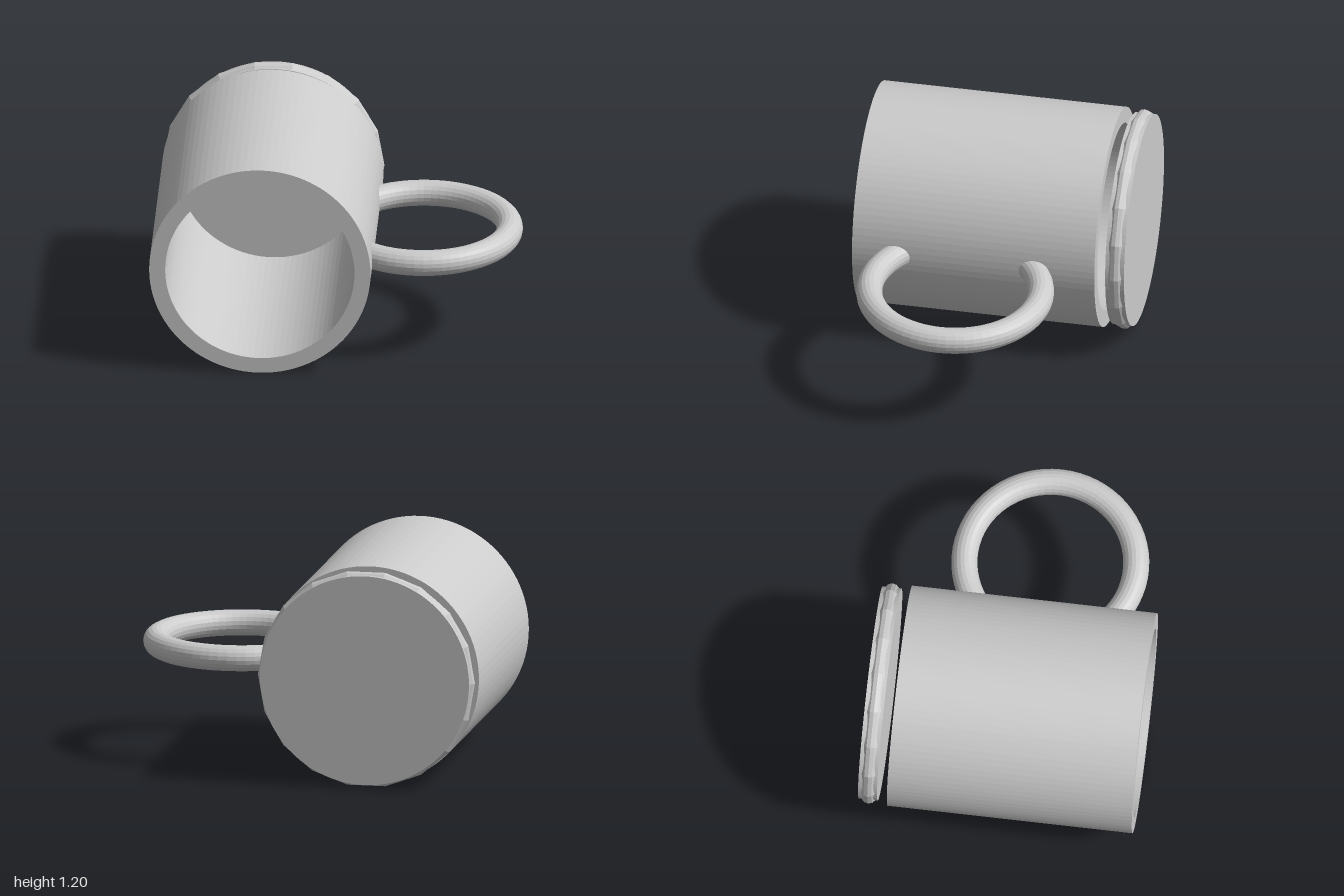
import * as THREE from 'three';

const CX = -0.398, CY = 0.604; // axis of the mug, which lies along z

function part(name, geometry, x, y, z, side = THREE.FrontSide) {
  const material = new THREE.MeshStandardMaterial({ color: 0xcccccc, flatShading: true, side });
  const mesh = new THREE.Mesh(geometry, material);
  mesh.name = name;
  mesh.position.set(x, y, z);
  return mesh;
}

export function createModel() {
  const group = new THREE.Group();
  group.name = 'mug';

  // Thick cylindrical wall, mouth facing the front
  const outer = 0.602, inner = 0.515, back = -0.59, front = 0.75;
  const profile = [[inner, back], [outer, back], [outer, front], [inner, front], [inner, back]]
    .map(([r, h]) => new THREE.Vector2(r, h));
  const wall = new THREE.LatheGeometry(profile, 96).rotateX(Math.PI / 2);
  group.add(part('body', wall, CX, CY, 0));

  // Separate base plate behind the wall
  const plate = new THREE.CylinderGeometry(0.58, 0.58, 0.104, 96).rotateX(Math.PI / 2);
  group.add(part('basePlate', plate, CX, CY, -0.698));

  // Coarse ring around the base plate
  group.add(part('baseRing', new THREE.TorusGeometry(0.559, 0.043, 12, 18), CX, CY, -0.697));

  // Handle: an arc whose ends sink into the wall
  const arc = THREE.MathUtils.degToRad(262);
  const loop = new THREE.TorusGeometry(0.467, 0.071, 20, 48, arc)
    .rotateZ(-arc / 2)
    .rotateX(Math.PI / 2);
  group.add(part('handle', loop, 0.462, 0.607, 0.13, THREE.DoubleSide));

  return group;
}
